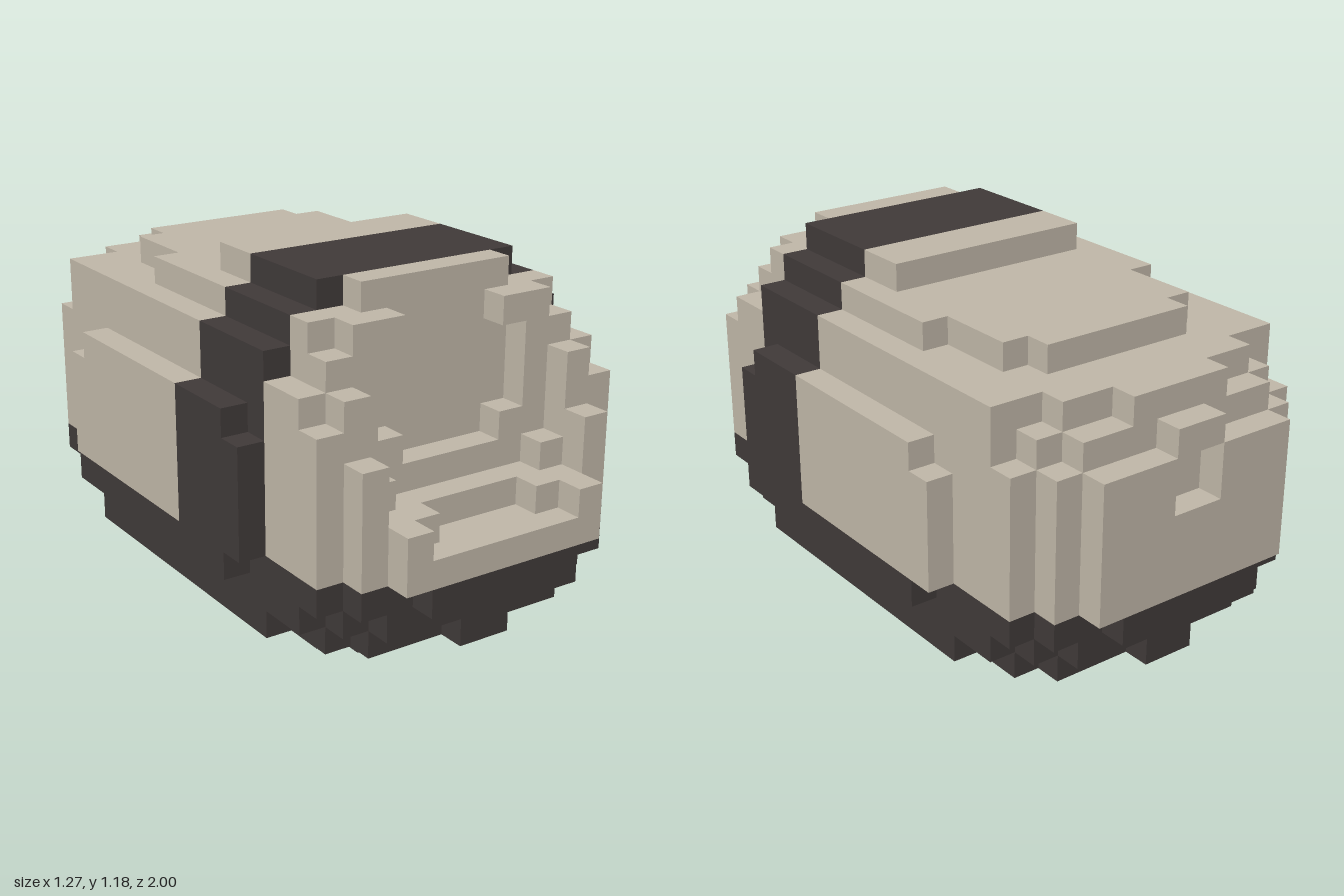
import * as THREE from 'three';

const U = 1 / 11; // size of one block

// Half outline from runs of [outer x, z], listed from the centre outwards
function edge(runs) {
  const pts = [];
  let x = 0;
  for (const [outer, z] of runs) {
    if (x > 0) pts.push([x, z]);
    pts.push([outer, z]);
    x = outer;
  }
  return pts;
}

// Mirrored slab between heights y0 and y1, with stepped front and back edges
function slab(name, material, y0, y1, front, back) {
  const half = [...edge(front), ...edge(back).reverse()];
  const mirrored = half.map(([x, z]) => [-x, z]).reverse();
  const shape = new THREE.Shape([...half, ...mirrored].map(([x, z]) => new THREE.Vector2(x * U, -z * U)));
  const geometry = new THREE.ExtrudeGeometry(shape, { depth: (y1 - y0) * U, bevelEnabled: false });
  geometry.rotateX(-Math.PI / 2).translate(0, y0 * U, 0);
  const mesh = new THREE.Mesh(geometry, material);
  mesh.name = name;
  return mesh;
}

export function createModel() {
  const shell = new THREE.MeshStandardMaterial({ color: 0xc0b7a8 });
  shell.name = 'pale shell';
  const trim = new THREE.MeshStandardMaterial({ color: 0x403a39 });
  trim.name = 'dark trim';

  const model = new THREE.Group();
  model.name = 'blockPod';
  const section = (name) => {
    const group = new THREE.Group();
    group.name = name;
    model.add(group);
    return group;
  };

  // Dark underside, the same at front and back
  const base = section('base');
  const baseLayers = [
    [[3, 7], [4, 6]],
    [[1, 10], [4, 9], [5, 8], [6, 6]],
    [[4, 10], [5, 9], [6, 8]],
    [[3, 11], [5, 10], [6, 9], [7, 5]],
  ];
  baseLayers.forEach((runs, y) => {
    base.add(slab('baseLayer', trim, y, y + 1, runs, runs.map(([x, z]) => [x, -z])));
  });

  // Dark hoop over the body
  const band = section('band');
  const bandLayers = [
    [4, 8, [[7, 6]]],
    [8, 9, [[6, 6], [7, 5]]],
    [9, 11, [[6, 6]]],
    [11, 12, [[5, 6]]],
    [12, 13, [[4, 6]]],
  ];
  for (const [y0, y1, front] of bandLayers) {
    band.add(slab('bandLayer', trim, y0, y1, front, [[front[front.length - 1][0], 2]]));
  }

  // Rear body, with a small hooded recess in the back panel
  const body = section('rearBody');
  const bodyLayers = [
    [4, 7, [[4, -11], [5, -10], [6, -9], [7, -6]]],
    [7, 8, [[1, -10], [4, -11], [5, -10], [6, -9], [7, -6]]],
    [8, 9, [[1, -10], [4, -11], [5, -10], [6, -9], [7, -5]]],
    [9, 10, [[1, -11], [4, -10], [5, -9], [6, -8]]],
    [10, 11, [[2, -10], [4, -9], [6, -8]]],
    [11, 12, [[3, -7], [4, -6], [5, -3]]],
    [12, 13, [[4, 0]]],
  ];
  for (const [y0, y1, back] of bodyLayers) {
    body.add(slab('bodyLayer', shell, y0, y1, [[back[back.length - 1][0], 2]], back));
  }

  // Nose with a recessed face and stepped rim
  const nose = section('nose');
  const noseLayers = [
    [[4, 11], [5, 10], [6, 9]],
    [[2, 9], [3, 10], [4, 11], [5, 10], [6, 9]],
    [[3, 8], [4, 9], [5, 10], [6, 9]],
    [[2, 7], [4, 8], [5, 10], [6, 9]],
    [[3, 7], [4, 8], [6, 9]],
    [[3, 7], [4, 8], [5, 9], [6, 8]],
    [[3, 7], [5, 8]],
    [[2, 7], [4, 8], [5, 7]],
    [[3, 7]],
  ];
  noseLayers.forEach((front, i) => {
    nose.add(slab('noseLayer', shell, i + 4, i + 5, front, [[front[front.length - 1][0], 6]]));
  });

  return model;
}
